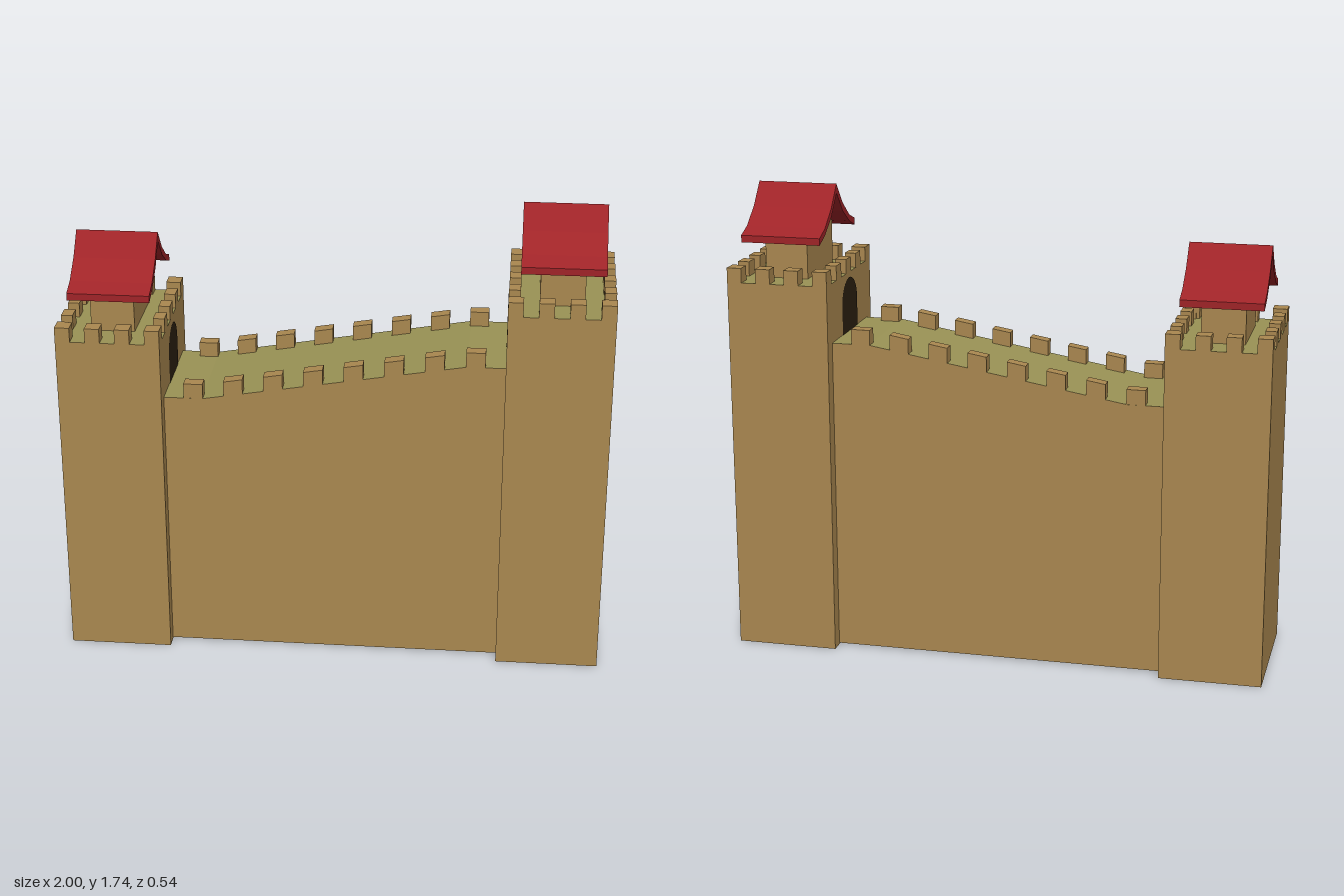
import * as THREE from 'three';

const mat = (color) => new THREE.MeshStandardMaterial({ color, flatShading: true, side: THREE.DoubleSide });

const TOWER_W = 0.38, TOWER_D = 0.54, MERLON_H = 0.054;
const WALL_X = 0.62, WALL_Z = 0.217, SLOPE_X = 0.48, LOW = 1.02, HIGH = 1.185;

// Walkway height: level at both ends, ramped in between
const walkY = (x) => THREE.MathUtils.mapLinear(THREE.MathUtils.clamp(x, -SLOPE_X, SLOPE_X), -SLOPE_X, SLOPE_X, LOW, HIGH);

function moveVertices(geo, rule) {
  const p = geo.attributes.position, v = new THREE.Vector3();
  for (let i = 0; i < p.count; i++) {
    rule(v.fromBufferAttribute(p, i));
    p.setXYZ(i, v.x, v.y, v.z);
  }
  geo.computeVertexNormals();
  return geo;
}

// Extrude a symmetric z-y profile along x, centred
function extrudeAlongX(points, length) {
  const shape = new THREE.Shape(points.map(([z, y]) => new THREE.Vector2(z, y)));
  const geo = new THREE.ExtrudeGeometry(shape, { depth: length, bevelEnabled: false });
  return geo.translate(0, 0, -length / 2).rotateY(Math.PI / 2);
}

const mirrored = (half) => [...half, ...half.slice().reverse().filter(([z]) => z > 0).map(([z, y]) => [-z, y])];

export function createModel() {
  const stone = mat(0xaa8850), grass = mat(0x9a9355), tile = mat(0xa02428), dark = mat(0x2c2112);
  const root = new THREE.Group();
  root.name = 'castleWall';

  const add = (parent, name, geo, material, x = 0, y = 0, z = 0) => {
    const m = new THREE.Mesh(geo, material);
    m.name = name;
    m.position.set(x, y, z);
    parent.add(m);
    return m;
  };

  // Tower: hollow shaft, floor, battlements, roofed hut and doorway
  function buildTower(name, side, floorY, doorBase) {
    const tower = new THREE.Group();
    tower.name = name;
    tower.position.x = side * (1 - TOWER_W / 2);
    root.add(tower);

    // Shaft keeps only the four side faces
    const shaft = new THREE.BoxGeometry(TOWER_W, floorY, TOWER_D);
    const idx = Array.from(shaft.index.array);
    shaft.setIndex([...idx.slice(0, 12), ...idx.slice(24)]);
    shaft.clearGroups();
    add(tower, 'shaft', shaft, stone, 0, floorY / 2);
    add(tower, 'towerFloor', new THREE.PlaneGeometry(TOWER_W, TOWER_D).rotateX(-Math.PI / 2), grass, 0, floorY);

    // Battlements along front/back, then along the sides between the corners
    const stepX = TOWER_W / 7, stepZ = TOWER_D / 9, y = floorY + MERLON_H / 2;
    for (const s of [-1, 1]) {
      for (let i = 0; i < 7; i += 2)
        add(tower, 'merlon', new THREE.BoxGeometry(stepX, MERLON_H, 0.055), stone,
          (i - 3) * stepX, y, s * (TOWER_D / 2 - 0.0275));
      for (let i = 0; i < 9; i += 2)
        add(tower, 'merlon', new THREE.BoxGeometry(0.042, MERLON_H, stepZ), stone,
          s * (TOWER_W / 2 - 0.021), y, (i - 4) * stepZ);
    }

    // Gabled hut under a swept roof
    const under = [[0.215, 0.14], [0.15, 0.165], [0.07, 0.218], [0, 0.297]];
    const over = [[0.215, 0.166], [0.15, 0.19], [0.07, 0.25], [0, 0.332]];
    add(tower, 'hut', extrudeAlongX(mirrored([[0.15, 0], ...under.slice(1)]), 0.16), stone, 0, floorY);
    const roofProfile = [...mirrored(over), ...mirrored(under).reverse()];
    add(tower, 'roof', extrudeAlongX(roofProfile, 0.3), tile, 0, floorY);

    // Arched doorway facing the walkway
    const r = 0.092, spring = 0.11;
    const arch = new THREE.Shape();
    arch.moveTo(-r, 0);
    arch.lineTo(r, 0);
    arch.lineTo(r, spring);
    arch.absarc(0, spring, r, 0, Math.PI);
    arch.lineTo(-r, 0);
    const door = add(tower, 'doorway', new THREE.ShapeGeometry(arch, 8), dark, -side * (TOWER_W / 2 + 0.002), doorBase);
    door.rotation.y = -side * Math.PI / 2;
  }
  buildTower('leftTower', 1, 1.406, HIGH);
  buildTower('rightTower', -1, 1.247, LOW);

  // Curtain wall: two sheets and a ramped walkway, open below
  const knot = (x) => (Math.abs(x) > 0.5 ? Math.sign(x) * WALL_X : Math.sign(x) * SLOPE_X);
  for (const s of [-1, 1]) {
    const sheet = moveVertices(new THREE.PlaneGeometry(2 * WALL_X, 1, 3, 1), (v) => {
      v.x = knot(v.x);
      v.y = v.y > 0 ? walkY(v.x) : 0.005;
    });
    if (s < 0) sheet.rotateY(Math.PI).scale(1, 1, 1);
    // The back sheet is turned about x = 0, so flip its ramp to match
    if (s < 0) moveVertices(sheet, (v) => { if (v.y > 0.5) v.y = walkY(v.x); });
    add(root, s > 0 ? 'frontWall' : 'backWall', sheet, stone, 0, 0, s * WALL_Z);
  }
  const walkway = moveVertices(new THREE.PlaneGeometry(2 * WALL_X, 2 * WALL_Z, 3, 1).rotateX(-Math.PI / 2), (v) => {
    v.x = knot(v.x);
    v.y = walkY(v.x);
  });
  add(root, 'walkway', walkway, grass);

  // Wall battlements sheared to follow the ramp
  for (const s of [-1, 1])
    for (let i = 0; i < 8; i++) {
      const geo = new THREE.BoxGeometry(0.07, 0.056, 0.048);
      geo.translate((i - 3.5) * 0.1463, 0.028, s * (WALL_Z - 0.024));
      add(root, 'wallMerlon', moveVertices(geo, (v) => { v.y += walkY(v.x); }), stone);
    }

  return root;
}
